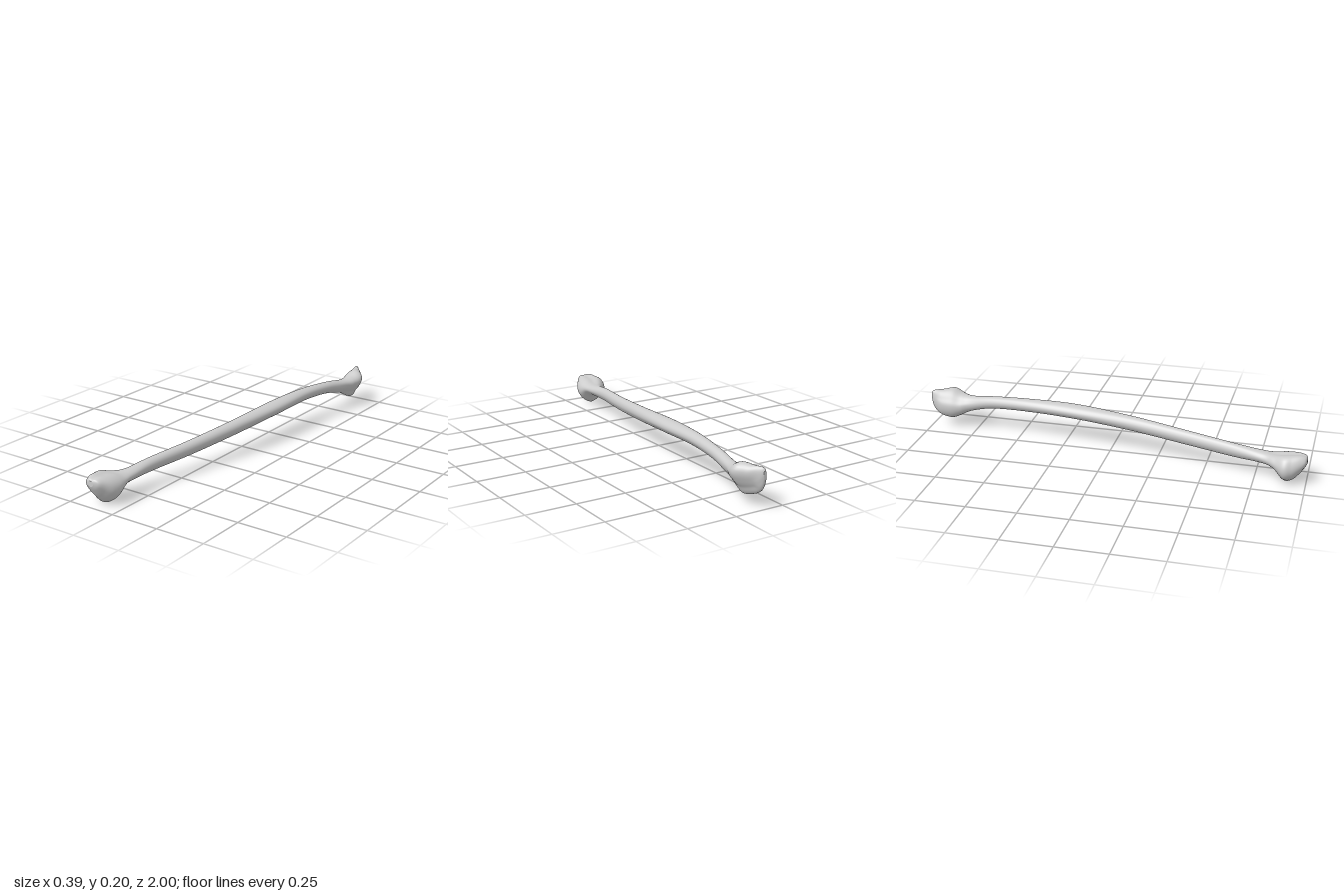
import * as THREE from 'three';

const SIDES = 48, STEPS = 10;
const { smoothstep } = THREE.MathUtils;

// Outline radii every 30 degrees, counter-clockwise from +x, seen from the front
const frontOutline = [0.98, 1.04, 1.0, 0.87, 1.07, 1.03, 1.0, 0.95, 0.9, 1.0, 0.92, 0.9];
const shaftOutline = [1.0, 1.05, 1.02, 1.0, 0.98, 0.96, 1.0, 0.98, 1.0, 1.0, 0.95, 0.9];
const backOutline = [0.77, 1.12, 1.1, 0.98, 0.86, 0.84, 1.0, 1.08, 1.08, 0.95, 0.64, 0.62];

// Stations along the bone: z, centre x, centre y, half width, half height
const stations = [
  [1.0, -0.12, 0.115, 0.015, 0.015],
  [0.99, -0.118, 0.11, 0.038, 0.03],
  [0.965, -0.117, 0.094, 0.055, 0.052],
  [0.93, -0.114, 0.075, 0.073, 0.07],
  [0.89, -0.114, 0.071, 0.081, 0.069],
  [0.84, -0.1, 0.089, 0.06, 0.037],
  [0.78, -0.083, 0.095, 0.039, 0.03],
  [0.64, -0.064, 0.105, 0.029, 0.034],
  [0.4, -0.015, 0.121, 0.03, 0.036],
  [0.1, 0.036, 0.145, 0.036, 0.037],
  [-0.2, 0.068, 0.164, 0.046, 0.036],
  [-0.45, 0.082, 0.166, 0.036, 0.033],
  [-0.65, 0.103, 0.153, 0.03, 0.032],
  [-0.78, 0.12, 0.129, 0.035, 0.039],
  [-0.84, 0.128, 0.118, 0.052, 0.056],
  [-0.89, 0.131, 0.118, 0.063, 0.076],
  [-0.94, 0.115, 0.122, 0.046, 0.068],
  [-0.975, 0.106, 0.133, 0.026, 0.058],
  [-0.992, 0.102, 0.145, 0.015, 0.043],
  [-1.0, 0.101, 0.157, 0.007, 0.02],
];

// Smooth spline value between b and c
function spline(a, b, c, d, t) {
  const m = (c - a) / 2, n = (d - b) / 2;
  return b + t * (m + t * (3 * (c - b) - 2 * m - n + t * (2 * (b - c) + m + n)));
}

function radius(outline, turn) {
  const i = Math.floor(turn * 12);
  const at = (k) => outline[(i + k + 12) % 12];
  return spline(at(-1), at(0), at(1), at(2), turn * 12 - i);
}

function stationAt(s) {
  const last = stations.length - 1;
  const i = Math.min(Math.floor(s), last - 1);
  const at = (k) => stations[Math.min(Math.max(i + k, 0), last)];
  return stations[0].map((_, c) => spline(at(-1)[c], at(0)[c], at(1)[c], at(2)[c], s - i));
}

function loftBone() {
  const rows = (stations.length - 1) * STEPS;
  const positions = [], index = [];
  for (let r = 0; r <= rows; r++) {
    const [z, x, y, halfWidth, halfHeight] = stationAt(r / STEPS);
    // The outline turns from the round shaft into the shape of each head
    const front = smoothstep(z, 0.76, 0.88);
    const back = smoothstep(-z, 0.7, 0.87) * (1 - smoothstep(-z, 0.95, 1));
    for (let j = 0; j < SIDES; j++) {
      const turn = j / SIDES, a = turn * 2 * Math.PI;
      const k = radius(frontOutline, turn) * front + radius(backOutline, turn) * back
        + radius(shaftOutline, turn) * (1 - front - back);
      positions.push(x + halfWidth * k * Math.cos(a), y + halfHeight * k * Math.sin(a), z);
      if (r === rows) continue;
      const p = r * SIDES + j, q = r * SIDES + ((j + 1) % SIDES);
      index.push(p, p + SIDES, q, p + SIDES, q + SIDES, q);
    }
  }
  // Close both tips with a fan
  for (const row of [0, rows]) {
    const [z, x, y] = stationAt(row / STEPS);
    const centre = positions.length / 3;
    positions.push(x, y, z);
    for (let j = 0; j < SIDES; j++) {
      const p = row * SIDES + j, q = row * SIDES + ((j + 1) % SIDES);
      if (row === 0) index.push(centre, p, q);
      else index.push(centre, q, p);
    }
  }
  const geometry = new THREE.BufferGeometry();
  geometry.setAttribute('position', new THREE.Float32BufferAttribute(positions, 3));
  geometry.setIndex(index);
  geometry.computeVertexNormals();
  return geometry;
}

export function createModel() {
  const group = new THREE.Group();
  group.name = 'longBone';
  // Bowed shaft with a knobbly head at each end, one continuous surface
  const bone = new THREE.Mesh(loftBone(), new THREE.MeshStandardMaterial({ color: 0xcccccc }));
  bone.name = 'boneShaftAndHeads';
  group.add(bone);
  return group;
}
